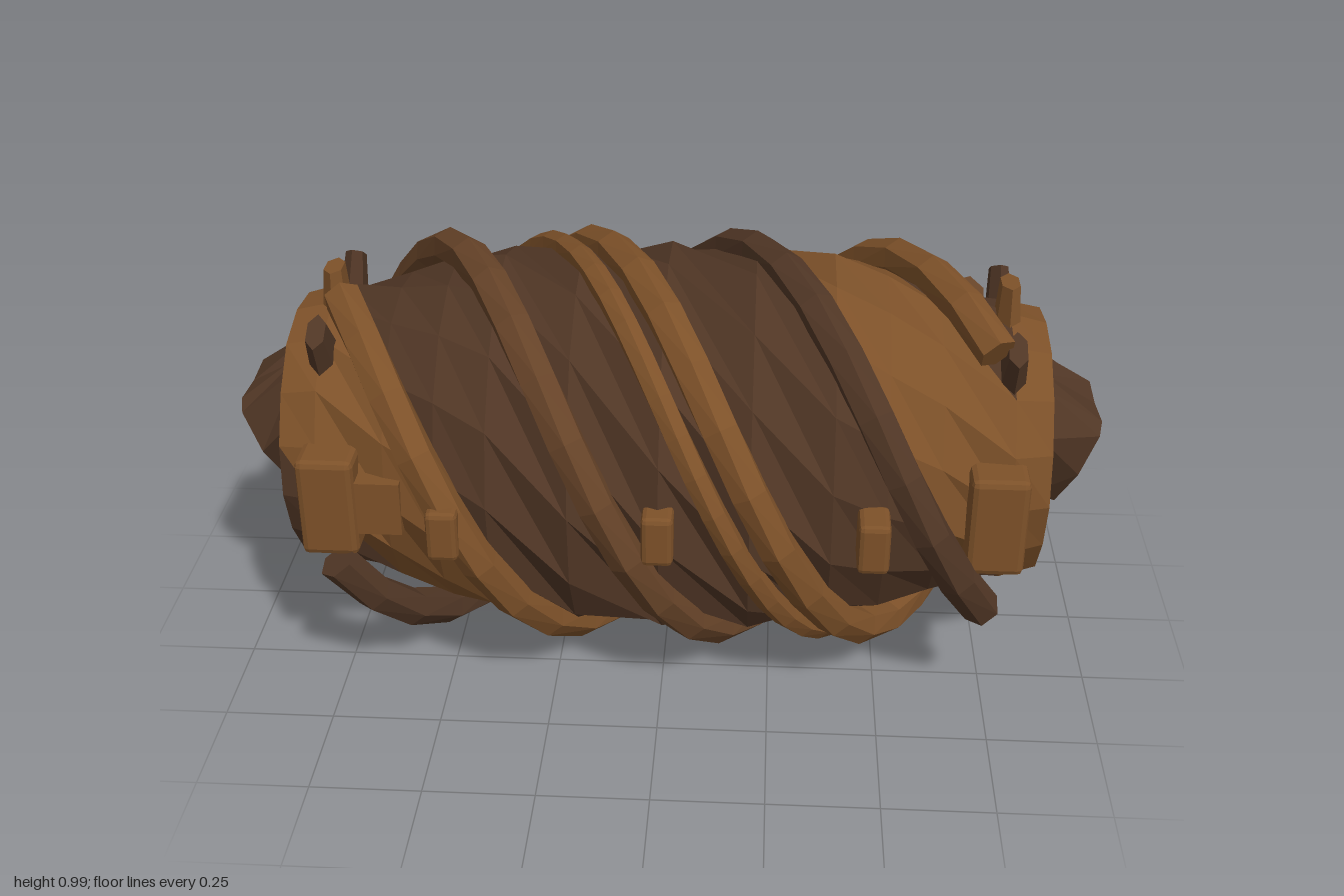
import * as THREE from 'three';
import { RoundedBoxGeometry } from 'three/addons/geometries/RoundedBoxGeometry.js';

const PITCH = 1.4; // length of one full spiral turn along x
const MID = 0.5; // height of the long axis
const TAU = Math.PI * 2;
const all = () => true;
const none = () => false;

function brown(name, color) {
  const material = new THREE.MeshStandardMaterial({ color, flatShading: true });
  material.name = name;
  return material;
}
const lightBrown = brown('light brown', 0x7d5129);
const midBrown = brown('medium brown', 0x664328);
const darkBrown = brown('dark brown', 0x503625);

// Joins closed rings of points; the three tests choose which sectors to keep
function loft(rings, side = all, startCap = all, endCap = all) {
  const n = rings[0].length;
  const points = rings.flat();
  const index = [];
  const last = (rings.length - 1) * n;
  const centre = ring => ring.reduce((sum, p) => sum.add(p), new THREE.Vector3()).divideScalar(n);
  points.push(centre(rings[0]), centre(rings[rings.length - 1]));
  for (let j = 0; j < n; j++) {
    const k = (j + 1) % n;
    if (side(j)) {
      for (let i = 0; i < last; i += n) {
        index.push(i + j, i + k, i + n + j, i + k, i + n + k, i + n + j);
      }
    }
    if (startCap(j)) index.push(points.length - 2, k, j);
    if (endCap(j)) index.push(points.length - 1, last + j, last + k);
  }
  const geometry = new THREE.BufferGeometry().setFromPoints(points);
  geometry.setIndex(index);
  geometry.computeVertexNormals();
  return geometry;
}

// Radius of the trunk along its length
const profile = [[0, 0.46], [0.2, 0.456], [0.38, 0.438], [0.5, 0.408], [0.62, 0.364], [0.78, 0.33], [0.865, 0.308]];

function trunkRings() {
  const half = profile.slice(1);
  const stations = [...half.map(([x, r]) => [-x, r]).reverse(), ...profile];
  return stations.map(([x, r]) => Array.from({ length: 16 }, (_, j) => {
    const a = TAU * ((x - 0.6) / PITCH + j / 16);
    const rr = r * (1 + 0.01 * Math.cos(j * 2.3 + x * 5));
    return new THREE.Vector3(x, MID + 0.018 * Math.abs(x) + rr * Math.cos(a), rr * Math.sin(a));
  }));
}

// Six-sided root winding around the trunk; topX is where it crosses the top
function strand(topX, thickness, midRadius, endX) {
  const steps = 22;
  const rings = [];
  for (let i = 0; i <= steps; i++) {
    const x = -endX + (2 * endX * i) / steps;
    const a = (TAU * (x - topX)) / PITCH;
    const r = midRadius - 0.06 * x * x;
    const out = new THREE.Vector3(0, Math.cos(a), Math.sin(a));
    const along = new THREE.Vector3(PITCH / TAU, -r * Math.sin(a), r * Math.cos(a)).normalize();
    const across = new THREE.Vector3().crossVectors(along, out);
    const centre = new THREE.Vector3(x, MID, 0).addScaledVector(out, r);
    rings.push(Array.from({ length: 6 }, (_, j) => centre.clone()
      .addScaledVector(out, thickness * Math.cos((j * TAU) / 6))
      .addScaledVector(across, thickness * Math.sin((j * TAU) / 6))));
  }
  return loft(rings);
}

// Ring of the end stub from half an outline of [z, y], mirrored in z
function stubRing(half, xAt) {
  const mirrored = half.slice(1, -1).reverse().map(([z, y]) => [-z, y]);
  return [...half, ...mirrored].map(([z, y]) => new THREE.Vector3(xAt(y), y, z));
}

export function createModel() {
  const model = new THREE.Group();
  model.name = 'twistedLog';
  const add = (name, geometry, material, x = 0, y = 0, z = 0) => {
    const mesh = new THREE.Mesh(geometry, material);
    mesh.name = name;
    mesh.position.set(x, y, z);
    model.add(mesh);
    return mesh;
  };

  // Trunk: one light spiral sector, the rest dark
  const rings = trunkRings();
  const lightSide = j => j < 4;
  add('trunkLightSector', loft(rings.slice(1, -1), lightSide, none, none), lightBrown);
  add('trunkDarkSector', loft(rings.slice(1, -1), j => !lightSide(j), none, none), darkBrown);

  // Collars and end faces, light across the upper part
  const rightCap = j => j >= 11 || j === 0;
  const rightCollar = j => j >= 11 || lightSide(j);
  const leftCap = j => j >= 14 || j < 3;
  const leftCollar = j => j >= 14 || lightSide(j);
  add('rightCollarLight', loft(rings.slice(-2), rightCollar, none, rightCap), lightBrown);
  add('rightCollarDark', loft(rings.slice(-2), j => !rightCollar(j), none, j => !rightCap(j)), darkBrown);
  add('leftCollarLight', loft(rings.slice(0, 2), leftCollar, leftCap, none), lightBrown);
  add('leftCollarDark', loft(rings.slice(0, 2), j => !leftCollar(j), j => !leftCap(j), none), darkBrown);

  // Four winding roots and one thin companion
  [[-0.45, midBrown], [-0.1, lightBrown], [0.25, darkBrown], [0.6, lightBrown]].forEach(([topX, material]) => {
    add('windingRoot', strand(topX, 0.045, 0.454, 0.73), material);
  });
  add('thinRoot', strand(-0.2, 0.03, 0.455, 0.45), lightBrown);

  const largeBlock = new RoundedBoxGeometry(0.13, 0.24, 0.11, 1, 0.015);
  const smallBlock = new RoundedBoxGeometry(0.07, 0.12, 0.1, 1, 0.012);
  const bracket = new THREE.BoxGeometry(0.1, 0.13, 0.06);
  const spike = new THREE.CylinderGeometry(0.047, 0.072, 0.15, 6);

  // End stub: tapered block with a slanted face and a shallow notch
  const slant = y => 0.91 + (y - 0.39) * 0.39;
  const rim = [[0.1, 0.62], [0.135, 0.6], [0.14, 0.5], [0.09, 0.4], [0, 0.385]];
  const base = stubRing([[0, 0.69], [0.055, 0.722], [0.11, 0.71], [0.175, 0.61], [0.11, 0.43], [0, 0.4]], () => 0.855);
  const crest = stubRing([[0, 0.615], ...rim], slant);
  const face = stubRing([[0, 0.51], ...rim], slant);
  const notch = j => j === 0 || j === face.length - 1;
  const stubParts = [
    ['stubSides', loft([base, crest], all, none, none), darkBrown],
    ['stubFace', loft([crest, face], none, none, all), darkBrown],
    ['stubNotch', loft([crest, face], notch, none, none), lightBrown],
  ];

  for (const side of [-1, 1]) {
    // Blocks on the front and back
    for (const x of [-0.745, 0.745]) add('largeBlock', largeBlock, lightBrown, x, 0.5, side * 0.34);
    for (const x of [-0.47, 0, 0.47]) add('smallBlock', smallBlock, lightBrown, x, 0.5, side * (x ? 0.448 : 0.443));
    add('bracket', bracket, lightBrown, side * 0.63, 0.5, side * -0.355);

    // Three flattened spikes over each end
    for (const k of [-1, 0, 1]) {
      const a = k * 0.56;
      const mesh = add('spike', spike, k ? darkBrown : lightBrown,
        side * 0.775, 0.505 + 0.34 * Math.cos(a), 0.34 * Math.sin(a));
      mesh.rotation.x = a;
      mesh.scale.x = 0.5;
    }

    for (const part of stubParts) add(...part).rotation.y = side < 0 ? Math.PI : 0;
  }
  return model;
}
